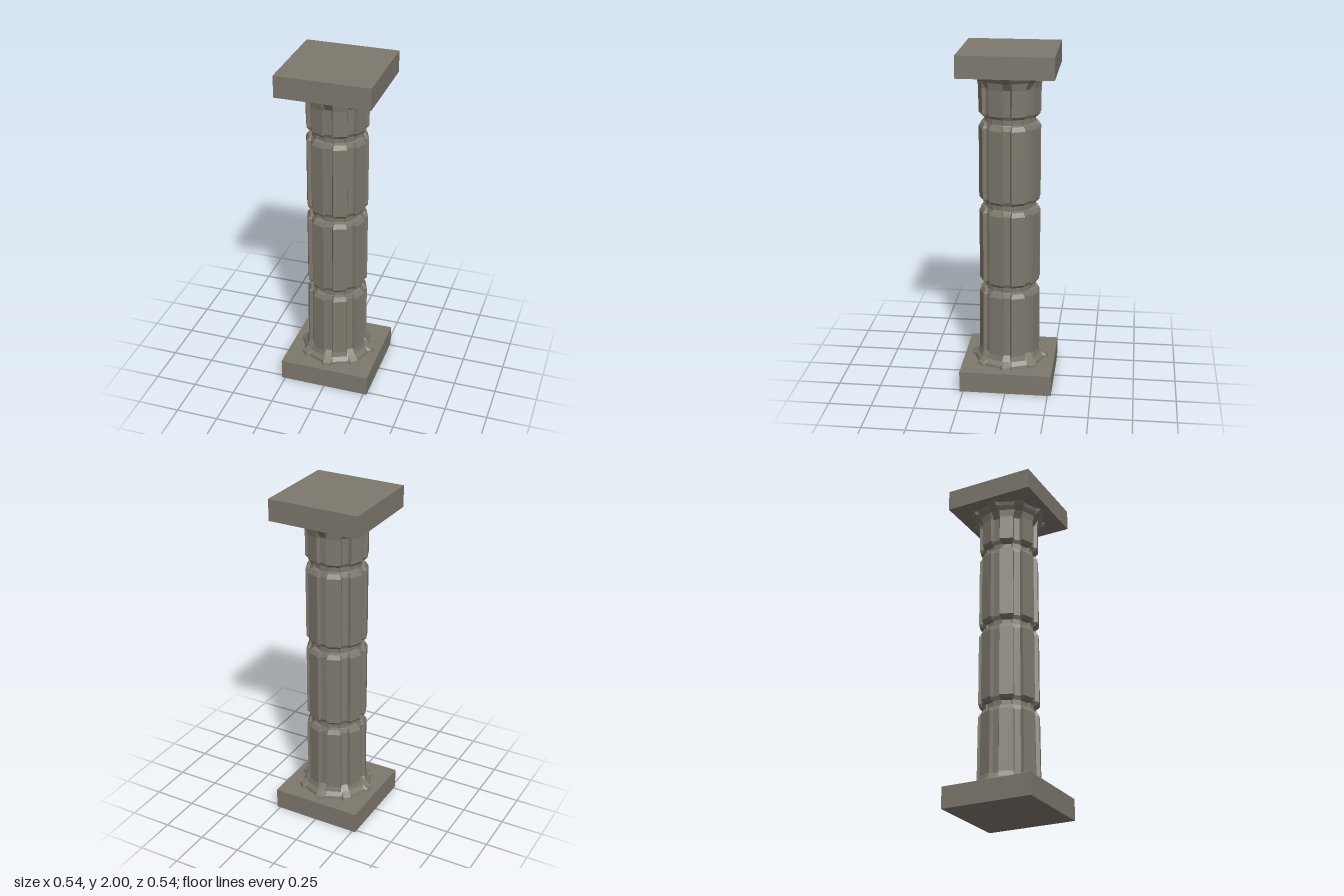
import * as THREE from 'three';

const stone = new THREE.MeshStandardMaterial({ color: 0x7d786d, flatShading: true });
stone.name = 'grey stone';

const FLUTES = 8;

// One cross-section: each flute has a floor (distance, half width) between two lobe corners.
function ring([y, lobe, lobeHalf, floor, floorHalf]) {
  const pts = [];
  for (let i = 0; i < FLUTES; i++) {
    const a = (i / FLUTES) * Math.PI * 2, c = Math.cos(a), s = Math.sin(a);
    for (const [d, w] of [[lobe, -lobeHalf], [floor, -floorHalf], [floor, floorHalf], [lobe, lobeHalf]]) {
      pts.push([d * c - w * s, y, -(d * s + w * c)]);
    }
  }
  return pts;
}

// Skin a stack of sections with outward-facing quads.
function loft(sections) {
  const rings = sections.map(ring), n = FLUTES * 4, index = [];
  for (let r = 0; r < rings.length - 1; r++) {
    for (let i = 0; i < n; i++) {
      const j = (i + 1) % n, a = r * n + i, b = r * n + j;
      index.push(a, b, b + n, a, b + n, a + n);
    }
  }
  const geo = new THREE.BufferGeometry();
  geo.setAttribute('position', new THREE.Float32BufferAttribute(rings.flat(2), 3));
  geo.setIndex(index);
  const flat = geo.toNonIndexed();
  flat.computeVertexNormals();
  return flat;
}

export function createModel() {
  const group = new THREE.Group();
  group.name = 'column';
  const add = (name, geo, y = 0) => {
    const mesh = new THREE.Mesh(geo, stone);
    mesh.name = name;
    mesh.position.y = y;
    group.add(mesh);
  };

  // Square slabs
  const slab = new THREE.BoxGeometry(0.54, 0.125, 0.54);
  add('baseSlab', slab, 0.0625);
  add('topSlab', slab, 1.9375);

  // Flared foot: ribs stand proud of the lobes here
  const sections = [
    [0.12, 0.208, 0.032, 0.23, 0.024],
    [0.142, 0.204, 0.032, 0.224, 0.022],
    [0.165, 0.186, 0.03, 0.188, 0.02],
    [0.195, 0.178, 0.03, 0.16, 0.018],
  ];
  // Pinched joints between the drums
  for (const y of [0.6, 1.1, 1.6]) {
    sections.push(
      [y - 0.04, 0.175, 0.029, 0.155, 0.018],
      [y - 0.015, 0.16, 0.029, 0.147, 0.024],
      [y - 0.01, 0.137, 0.028, 0.145, 0.025],
      [y + 0.02, 0.137, 0.028, 0.145, 0.025],
      [y + 0.025, 0.16, 0.029, 0.147, 0.024],
      [y + 0.042, 0.175, 0.029, 0.155, 0.018],
    );
  }
  // Flared head
  sections.push(
    [1.79, 0.176, 0.03, 0.157, 0.018],
    [1.832, 0.184, 0.03, 0.184, 0.02],
    [1.855, 0.2, 0.032, 0.215, 0.022],
    [1.88, 0.21, 0.032, 0.234, 0.024],
  );
  add('flutedShaft', loft(sections));

  return group;
}
